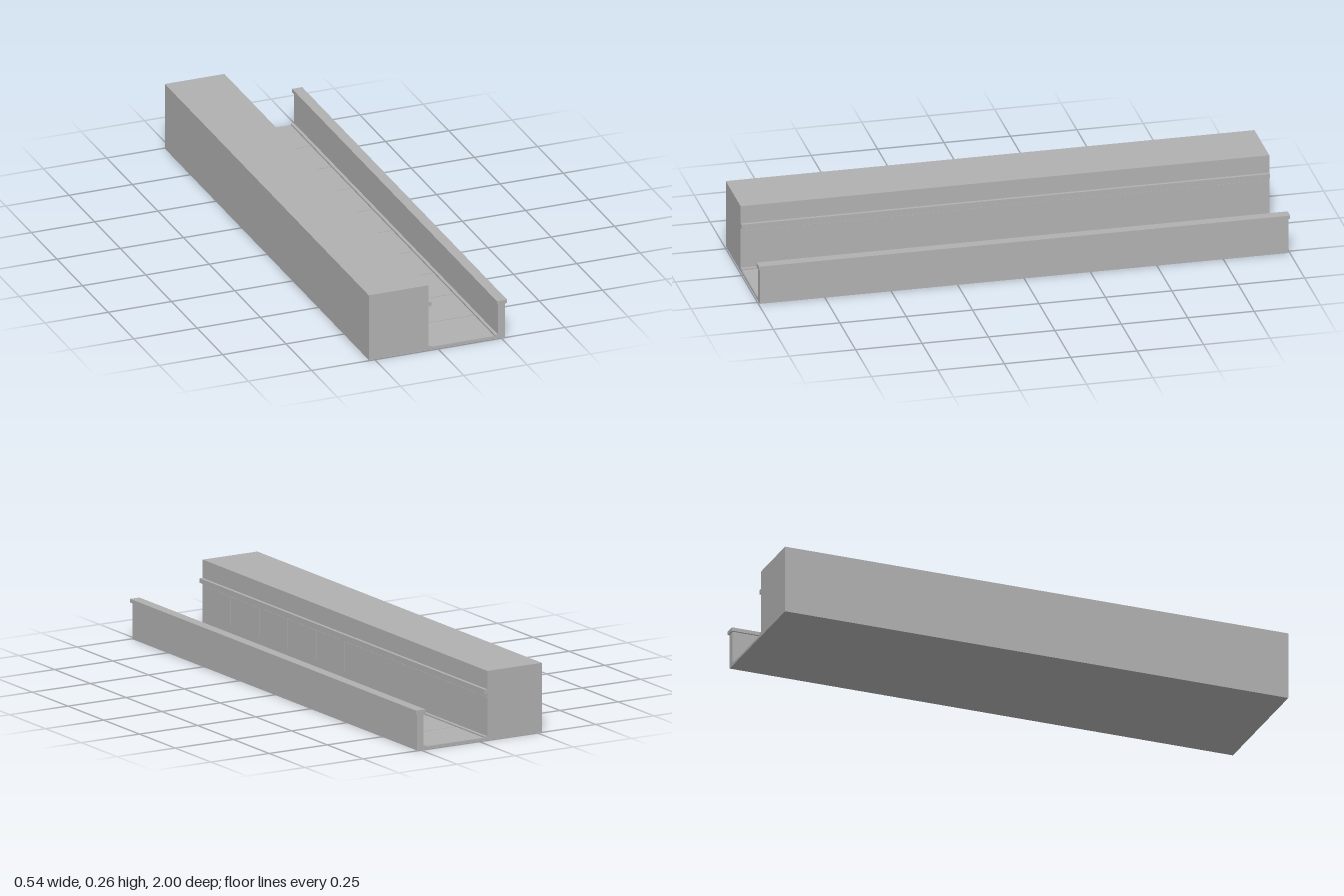
import * as THREE from 'three';

export function createModel() {
  const model = new THREE.Group();
  model.name = 'walkway';
  const concrete = new THREE.MeshStandardMaterial({ color: 0xb0b0b0 });
  concrete.name = 'concrete grey';
  const L = 0.995; // half length of the main body

  // Box given by its limits
  function box(name, x0, x1, y0, y1, z0 = -L, z1 = L, parent = model) {
    const mesh = new THREE.Mesh(new THREE.BoxGeometry(x1 - x0, y1 - y0, z1 - z0), concrete);
    mesh.position.set((x0 + x1) / 2, (y0 + y1) / 2, (z0 + z1) / 2);
    mesh.name = name;
    parent.add(mesh);
    return mesh;
  }

  // Building block, floor slab and outer parapet
  box('buildingBlock', -0.272, -0.037, 0, 0.261);
  box('floorSlab', -0.037, 0.238, 0, 0.0085);
  box('parapet', 0.238, 0.265, 0, 0.138);
  box('parapetCap', 0.232, 0.272, 0.138, 0.152, -1, 1);

  // Ledge on the wall and skirting along both sides of the floor
  box('wallLedge', -0.037, -0.0245, 0.175, 0.192);
  box('wallSkirting', -0.037, -0.0245, 0.0085, 0.015);
  box('parapetSkirting', 0.226, 0.238, 0.0085, 0.015);

  // Paving slabs with narrow joints, and shallow wall panels
  const paving = new THREE.Group();
  paving.name = 'paving';
  const panels = new THREE.Group();
  panels.name = 'wallPanels';
  model.add(paving, panels);
  const count = 10, step = (2 * L) / count;
  for (let i = 0; i < count; i++) {
    const z = -L + i * step;
    box('pavingSlab', -0.0225, 0.224, 0.0085, 0.0105, z + 0.0015, z + step - 0.0015, paving);
    box('wallPanel', -0.037, -0.0358, 0.05, 0.163, z + 0.0015, z + step - 0.0015, panels);
  }
  return model;
}
